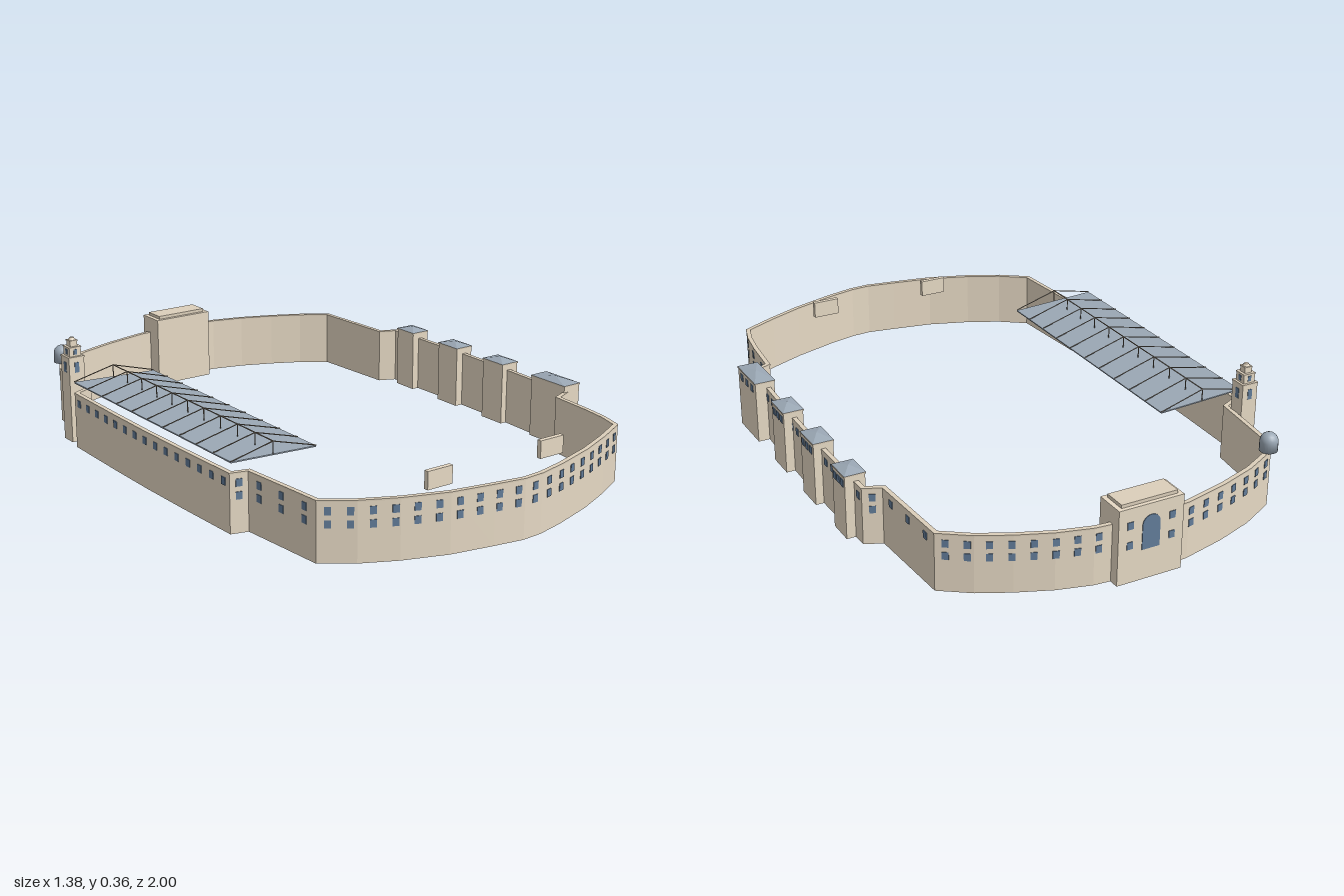
import * as THREE from 'three';

const mat = (name, color) => {
  const m = new THREE.MeshStandardMaterial({ color });
  m.name = name;
  return m;
};

// Outer wall outline (x, z), running back > left > front > right
const OUTLINE = [
  [0, -0.975], [0.17, -0.96], [0.28, -0.93], [0.39, -0.885], [0.49, -0.835], [0.582, -0.77],
  [0.59, -0.62], [0.598, -0.465], [0.655, -0.44], [0.66, -0.1], [0.655, 0.15], [0.64, 0.485],
  [0.58, 0.51], [0.568, 0.65], [0.555, 0.74], [0.533, 0.815], [0.42, 0.87], [0.3, 0.92],
  [0.15, 0.967], [0.05, 0.99], [-0.02, 0.994], [-0.12, 0.977], [-0.26, 0.95], [-0.4, 0.9],
  [-0.51, 0.845], [-0.603, 0.777], [-0.612, 0.65], [-0.625, 0.475], [-0.68, 0.46], [-0.686, 0.2],
  [-0.688, 0], [-0.686, -0.2], [-0.68, -0.47], [-0.617, -0.5], [-0.603, -0.62], [-0.588, -0.75],
  [-0.55, -0.817], [-0.43, -0.88], [-0.3, -0.925], [-0.15, -0.962],
].map(([x, z]) => new THREE.Vector2(x, z));

// Window runs between outline corners: first corner, last corner, spacing, row heights
const ONE = [0.158], TWO = [0.158, 0.118];
const RUNS = [
  [0, 5, 0.061, TWO], [5, 7, 0.09, ONE], [7, 8, 0.061, TWO], [8, 11, 0.047, ONE], [11, 12, 0.061, TWO],
  [12, 15, 0.094, TWO], [15, 25, 0.063, TWO], [25, 27, 0.094, TWO], [27, 28, 0.061, TWO],
  [28, 32, 0.061, ONE], [32, 33, 0.061, TWO], [33, 36, 0.09, ONE], [36, 40, 0.061, TWO],
];

const normalOf = (a, b) => new THREE.Vector2(b.y - a.y, a.x - b.x).normalize();

// Mitred offset of the outline; positive goes outwards
function offset(points, d) {
  const n = points.length;
  return points.map((p, i) => {
    const n1 = normalOf(points[(i + n - 1) % n], p);
    const n2 = normalOf(p, points[(i + 1) % n]);
    const m = n1.clone().add(n2).normalize();
    return p.clone().addScaledVector(m, d / m.dot(n1));
  });
}

// Closed ring standing between y0 and y1, its hole wound against its outline
function ring(outer, inner, y0, y1) {
  const flip = pts => pts.map(p => new THREE.Vector2(p.x, -p.y));
  const shape = new THREE.Shape(flip(outer).reverse());
  shape.holes.push(new THREE.Path(flip(inner)));
  const g = new THREE.ExtrudeGeometry(shape, { depth: y1 - y0, bevelEnabled: false });
  return g.rotateX(-Math.PI / 2).translate(0, y0, 0);
}

export function createModel() {
  const root = new THREE.Group();
  const stone = mat('stone', 0xe6d9c4);
  const trim = mat('stone trim', 0xdccfba);
  const glass = mat('window blue', 0x627c99);
  const slate = mat('slate roof', 0x9ba8b5);
  const steel = mat('truss steel', 0x857a6b);

  const add = (name, geometry, material, parent = root) => {
    const m = new THREE.Mesh(geometry, material);
    m.name = name;
    parent.add(m);
    return m;
  };
  const box = (name, x0, x1, y0, y1, z0, z1, material, parent) => {
    const m = add(name, new THREE.BoxGeometry(x1 - x0, y1 - y0, z1 - z0), material, parent);
    m.position.set((x0 + x1) / 2, (y0 + y1) / 2, (z0 + z1) / 2);
    return m;
  };
  const group = name => {
    const g = new THREE.Group();
    g.name = name;
    root.add(g);
    return g;
  };
  const pane = new THREE.BoxGeometry(0.02, 0.024, 0.004);
  const windowAt = (x, y, z, angle, parent) => {
    const w = add('window', pane, glass, parent);
    w.position.set(x, y, z);
    w.rotation.y = angle;
  };
  // Thin bar between two points
  const bar = (name, a, b, r, parent) => {
    const dir = b.clone().sub(a);
    const m = add(name, new THREE.CylinderGeometry(r, r, dir.length(), 5), steel, parent);
    m.position.copy(a).add(b).multiplyScalar(0.5);
    m.quaternion.setFromUnitVectors(new THREE.Vector3(0, 1, 0), dir.normalize());
  };

  // Perimeter wall and coping
  add('perimeterWall', ring(OUTLINE, offset(OUTLINE, -0.013), 0, 0.185), stone);
  add('wallCoping', ring(offset(OUTLINE, 0.001), offset(OUTLINE, -0.014), 0.185, 0.19), trim);

  // Wall windows, evenly spread along each run
  const wallWindows = group('wallWindows');
  for (const [first, last, spacing, rows] of RUNS) {
    const path = new THREE.CurvePath();
    for (let i = first; i < last; i++) {
      path.add(new THREE.LineCurve(OUTLINE[i], OUTLINE[(i + 1) % OUTLINE.length]));
    }
    const count = Math.max(1, Math.round(path.getLength() / spacing));
    for (let k = 0; k < count; k++) {
      const t = (k + 0.5) / count;
      const p = path.getPoint(t);
      const n = normalOf(path.getPoint(t - 0.004), path.getPoint(t + 0.004));
      for (const y of rows) windowAt(p.x, y, p.y, Math.atan2(n.x, n.y), wallWindows);
    }
  }

  // Roofed blocks along the left side
  for (const [z0, z1] of [[-0.39, -0.3], [-0.155, -0.055], [0.085, 0.185], [0.33, 0.487]]) {
    const block = group('sideBlock');
    const zc = (z0 + z1) / 2;
    box('blockWalls', 0.619, 0.686, 0, 0.208, z0, z1, stone, block);
    box('blockCornice', 0.617, 0.688, 0.208, 0.213, z0 - 0.002, z1 + 0.002, trim, block);
    const roof = new THREE.ConeGeometry(Math.SQRT1_2, 1, 4, 1).rotateY(Math.PI / 4).toNonIndexed();
    roof.scale(0.071, 0.012, z1 - z0 + 0.004);
    roof.computeVertexNormals();
    add('blockRoof', roof, slate, block).position.set(0.6525, 0.219, zc);
    for (const k of [-1, 0, 1]) windowAt(0.686, 0.185, zc + k * 0.29 * (z1 - z0), Math.PI / 2, block);
  }

  // Gatehouse at the back
  const gate = group('gatehouse');
  box('gateBody', -0.105, 0.115, 0, 0.246, -0.998, -0.897, stone, gate);
  box('gateTop', -0.09, 0.1, 0.246, 0.257, -0.985, -0.91, trim, gate);
  const arch = new THREE.Shape();
  arch.moveTo(-0.03, 0.1);
  arch.lineTo(0.03, 0.1);
  arch.lineTo(0.03, 0.18);
  arch.absarc(0, 0.18, 0.03, 0, Math.PI, false);
  const archGeo = new THREE.ExtrudeGeometry(arch, { depth: 0.004, bevelEnabled: false, curveSegments: 10 });
  add('gateArch', archGeo, glass, gate).position.set(0.005, 0, -1);
  for (const x of [-0.066, 0.076]) {
    for (const y of [0.125, 0.19]) windowAt(x, y, -0.998, Math.PI, gate);
  }

  // Stepped tower at the back right
  const tower = group('tower');
  tower.position.set(-0.641, 0, -0.548);
  const tiers = [[0.028, 0, 0.29, stone], [0.0295, 0.29, 0.295, trim], [0.021, 0.295, 0.323, stone],
    [0.0225, 0.323, 0.327, trim], [0.013, 0.327, 0.344, stone], [0.0145, 0.344, 0.348, trim]];
  for (const [h, y0, y1, m] of tiers) box('towerTier', -h, h, y0, y1, -h, h, m, tower);
  add('towerCap', new THREE.CylinderGeometry(0.007, 0.012, 0.008, 12), trim, tower).position.y = 0.352;
  for (let k = 0; k < 4; k++) {
    const a = k * Math.PI / 2, s = Math.sin(a), c = Math.cos(a);
    const tall = add('towerWindow', new THREE.BoxGeometry(0.016, 0.035, 0.003), glass, tower);
    tall.position.set(s * 0.028, 0.258, c * 0.028);
    tall.rotation.y = a;
    const small = add('towerUpperWindow', new THREE.BoxGeometry(0.012, 0.018, 0.003), glass, tower);
    small.position.set(s * 0.021, 0.31, c * 0.021);
    small.rotation.y = a;
  }

  // Domed turret on the back right corner
  const dome = [[0, 0.19], [0.029, 0.19], [0.029, 0.222]].map(p => new THREE.Vector2(...p));
  for (let k = 1; k <= 6; k++) {
    const a = k * Math.PI / 12;
    dome.push(new THREE.Vector2(Math.max(0, 0.029 * Math.cos(a)), 0.222 + 0.029 * Math.sin(a)));
  }
  add('domeTurret', new THREE.LatheGeometry(dome, 20), slate).position.set(-0.545, 0, -0.81);

  // Sloping canopy with trusses above it
  const canopy = group('canopy');
  const low = -0.375, high = -0.677, ridge = -0.53;
  const slab = box('canopyRoof', high, low, 0.214, 0.218, -0.475, 0.465, slate, canopy);
  slab.rotation.z = -0.045;
  for (let k = 0; k <= 10; k++) {
    const z = -0.475 + k * 0.094;
    const top = new THREE.Vector3(ridge, 0.258, z);
    bar('trussRafter', new THREE.Vector3(high, 0.226, z), top, 0.0018, canopy);
    bar('trussRafter', top, new THREE.Vector3(low, 0.213, z), 0.0018, canopy);
    bar('trussPost', new THREE.Vector3(ridge, 0.217, z), top, 0.0018, canopy);
  }
  bar('ridgeBar', new THREE.Vector3(ridge, 0.258, -0.475), new THREE.Vector3(ridge, 0.258, 0.465), 0.002, canopy);

  // Raised panels inside the front wall
  for (const x of [-0.225, 0.21]) {
    box('raisedPanel', x - 0.046, x + 0.046, 0.168, 0.225, 0.843, 0.859, stone);
  }
  return root;
}
